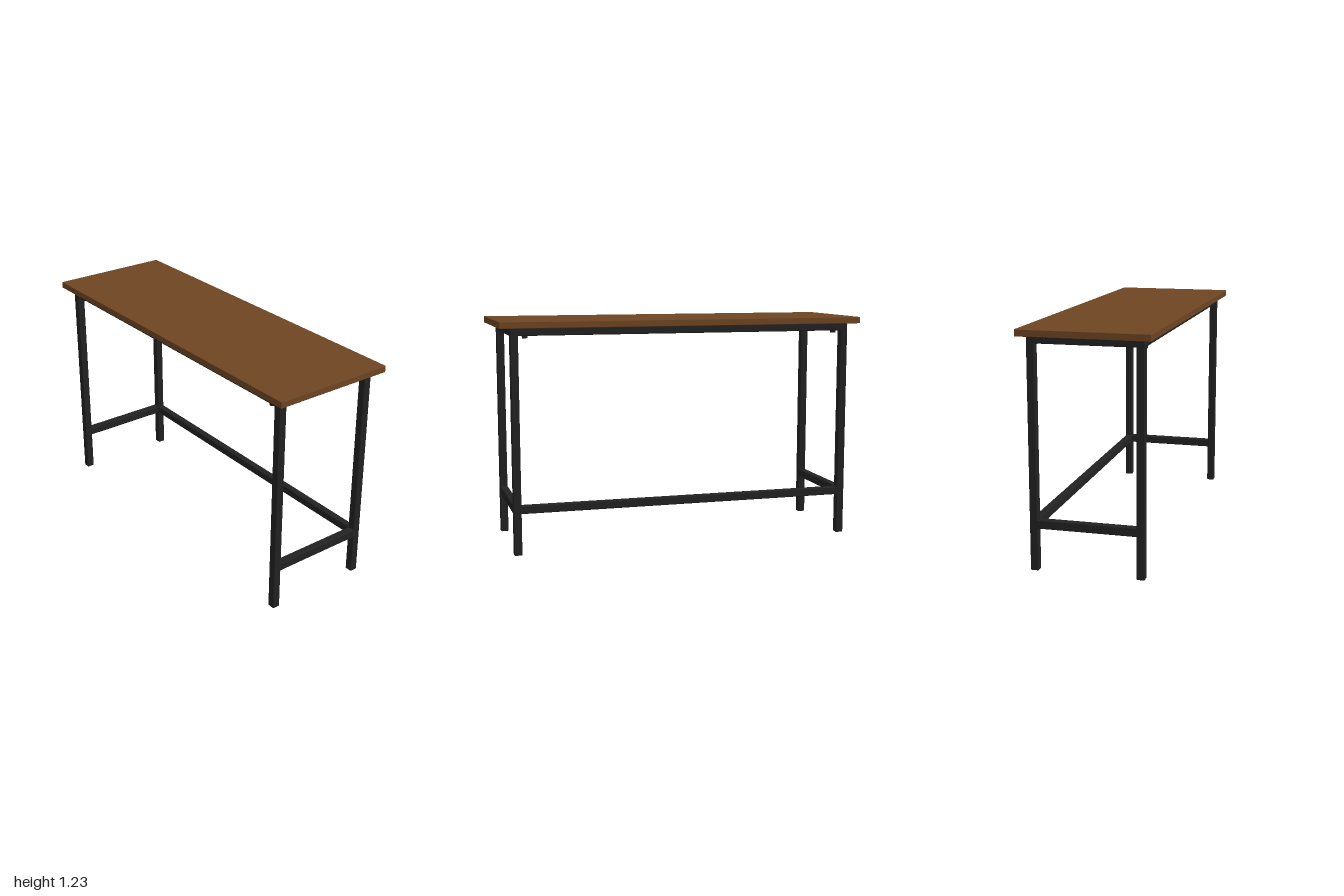
import * as THREE from 'three';
import { RoundedBoxGeometry } from 'three/addons/geometries/RoundedBoxGeometry.js';

export function createModel() {
  const group = new THREE.Group();
  const wood = new THREE.MeshStandardMaterial({ color: 0x6e4522 });
  wood.name = 'brown wood';
  const steel = new THREE.MeshStandardMaterial({ color: 0x222223 });
  steel.name = 'black steel';

  const add = (name, geometry, material, x, y, z) => {
    const mesh = new THREE.Mesh(geometry, material);
    mesh.name = name;
    mesh.position.set(x, y, z);
    group.add(mesh);
  };
  const box = (name, material, w, h, d, x, y, z, r) =>
    add(name, new RoundedBoxGeometry(w, h, d, 2, r), material, x, y, z);

  const legX = 0.92, frameZ = 0.275, offsetZ = -0.004; // frame centre lines
  const tube = 0.042, topY = 1.195;
  const railY = topY - 0.02, lowY = 0.244;

  // Tabletop
  box('tabletop', wood, 2, 0.035, 0.674, 0, topY + 0.0175, 0, 0.003);

  for (const sx of [-1, 1]) {
    // Side frames: top rail and low stretcher
    box('sideTopRail', steel, tube, 0.04, 2 * frameZ - 0.03, sx * legX, railY, offsetZ, 0.005);
    box('sideStretcher', steel, tube, 0.045, 2 * frameZ - 0.03, sx * legX, lowY, offsetZ, 0.005);
    for (const sz of [-1, 1]) {
      const z = sz * frameZ + offsetZ;
      box('leg', steel, tube, topY, tube, sx * legX, topY / 2, z, 0.005);
      // Bolt heads under the long rails
      add('bolt', new THREE.CylinderGeometry(0.015, 0.015, 0.014, 16), steel, sx * 0.862, 1.15, z);
    }
  }

  // Long top rails, front and back
  for (const sz of [-1, 1]) {
    box('longTopRail', steel, 2 * legX - 0.03, 0.04, 0.04, 0, railY, sz * frameZ + offsetZ, 0.005);
  }

  // Low back stretcher
  box('backStretcher', steel, 2 * legX - 0.03, 0.043, 0.04, 0, lowY, -frameZ + offsetZ, 0.005);

  return group;
}
